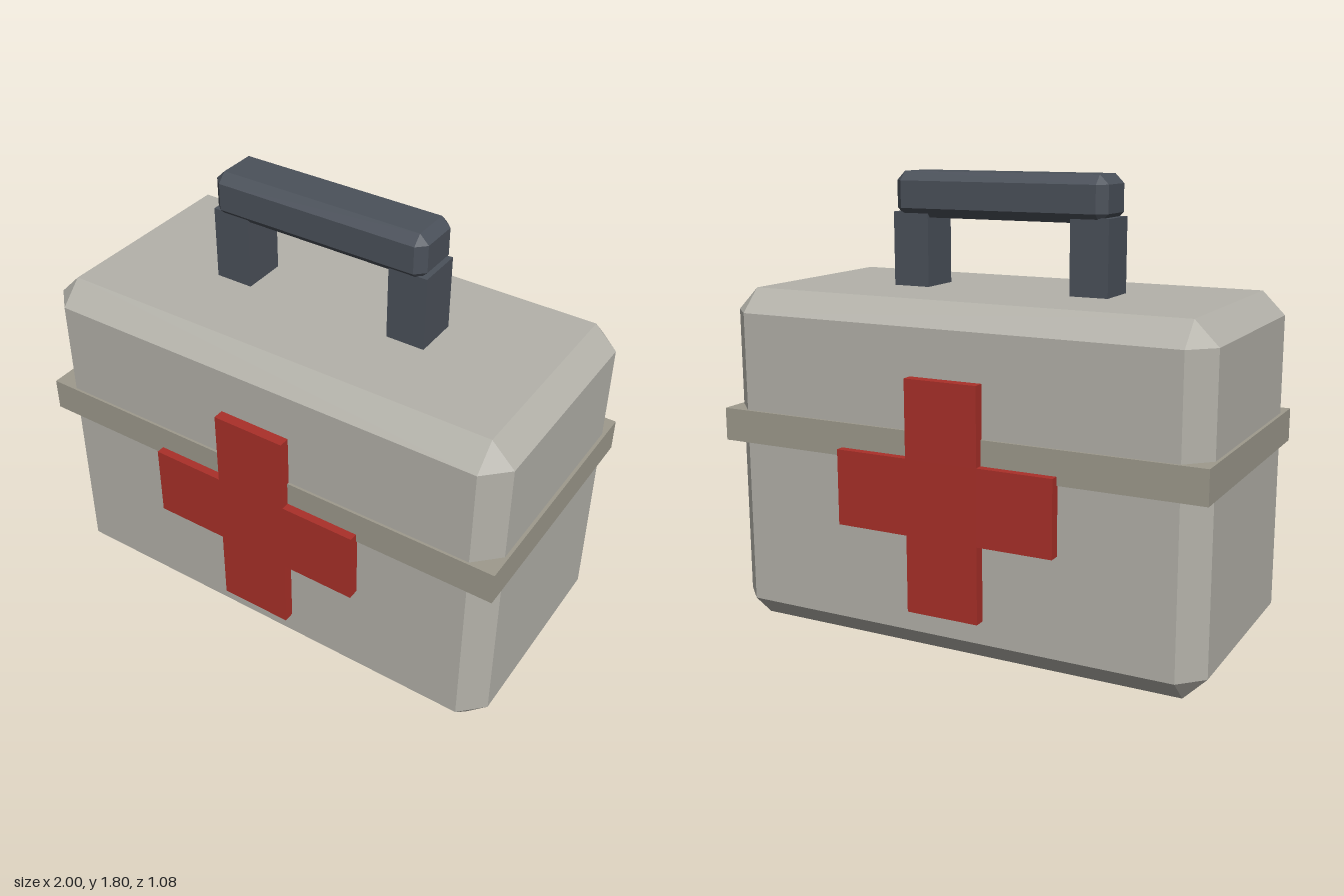
import * as THREE from 'three';
import { ConvexGeometry } from 'three/addons/geometries/ConvexGeometry.js';

const material = (color) => new THREE.MeshStandardMaterial({ color, flatShading: true });

// Box with all twelve edges cut at 45 degrees and triangular corners
function chamferedBox(w, h, d, c) {
  const half = [w / 2, h / 2, d / 2];
  const points = [];
  for (const sx of [-1, 1]) for (const sy of [-1, 1]) for (const sz of [-1, 1]) {
    for (let axis = 0; axis < 3; axis++) {
      const [x, y, z] = half.map((v, i) => (i === axis ? v : v - c));
      points.push(new THREE.Vector3(sx * x, sy * y, sz * z));
    }
  }
  return new ConvexGeometry(points);
}

export function createModel() {
  const group = new THREE.Group();
  const shell = material(0xb4b2aa);
  const trim = material(0x9e9a8d);
  const red = material(0xaa3029);
  const dark = material(0x4b515a);

  const add = (name, geometry, mat, x, y, z) => {
    const mesh = new THREE.Mesh(geometry, mat);
    mesh.name = name;
    mesh.position.set(x, y, z);
    group.add(mesh);
    return mesh;
  };

  // Case and the band around its lid seam
  add('caseBody', chamferedBox(1.974, 1.35, 0.99, 0.09), shell, 0, 0.675, 0);
  add('seamBand', new THREE.BoxGeometry(2, 0.13, 1.01), trim, 0, 0.81, 0);

  // Raised cross on the front and the back
  const a = 0.148, b = 0.448;
  const outline = [
    [-a, -b], [a, -b], [a, -a], [b, -a], [b, a], [a, a],
    [a, b], [-a, b], [-a, a], [-b, a], [-b, -a], [-a, -a],
  ];
  const cross = new THREE.ExtrudeGeometry(
    new THREE.Shape(outline.map(([x, y]) => new THREE.Vector2(x, y))),
    { depth: 0.06, bevelEnabled: false }
  );
  add('frontCross', cross, red, 0, 0.63, 0.478);
  add('backCross', cross, red, 0, 0.63, -0.478).rotation.y = Math.PI;

  // Carrying handle: two posts and a chamfered grip
  const post = new THREE.BoxGeometry(0.154, 0.3, 0.18);
  add('leftHandlePost', post, dark, 0.38, 1.49, 0);
  add('rightHandlePost', post, dark, -0.38, 1.49, 0);
  add('handleGrip', chamferedBox(0.896, 0.178, 0.22, 0.036), dark, 0, 1.709, 0);

  return group;
}
